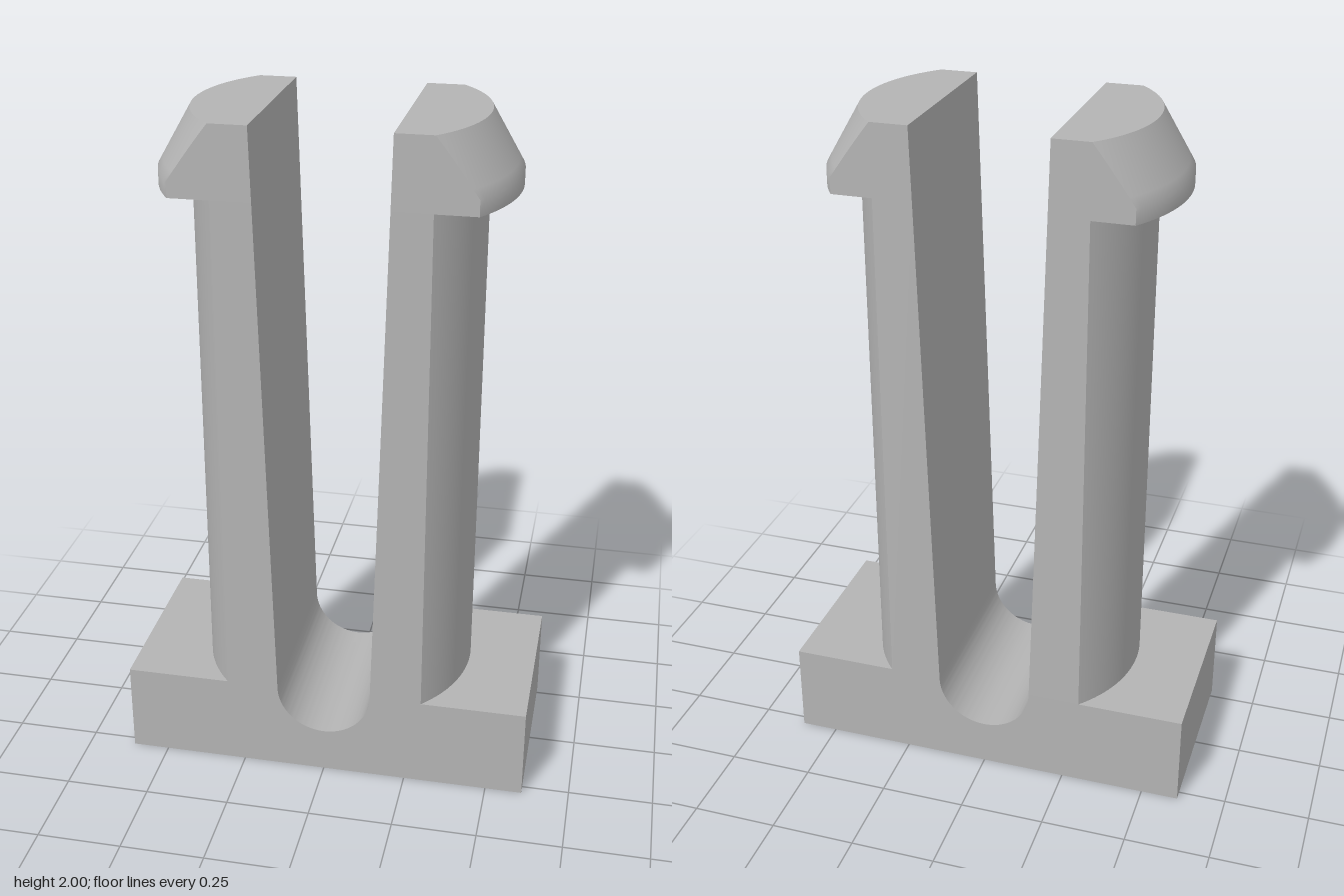
import * as THREE from 'three';
import { toCreasedNormals } from 'three/addons/utils/BufferGeometryUtils.js';

const HALF_DEPTH = 0.28;
const BASE_TOP = 0.28;
const SLOT_RADIUS = 0.142;
const CREASE = THREE.MathUtils.degToRad(35);

// Base block with the round bottom of the slot cut into its top
function baseGeometry() {
  const shape = new THREE.Shape();
  shape.moveTo(-0.61, 0);
  shape.lineTo(0.61, 0);
  shape.lineTo(0.61, BASE_TOP);
  shape.lineTo(SLOT_RADIUS, BASE_TOP);
  shape.absarc(0, BASE_TOP, SLOT_RADIUS, 0, Math.PI, true);
  shape.lineTo(-0.61, BASE_TOP);
  shape.closePath();
  const geometry = new THREE.ExtrudeGeometry(shape, {
    depth: HALF_DEPTH * 2, bevelEnabled: false, curveSegments: 32,
  });
  geometry.translate(0, 0, -HALF_DEPTH);
  return toCreasedNormals(geometry, CREASE);
}

// Horizontal section of a prong: flat slot wall, flat front and back, round outside
function prongSection(y, radius, steps = 32) {
  const inner = SLOT_RADIUS + (0.19 - SLOT_RADIUS) * (y - BASE_TOP) / (2 - BASE_TOP);
  const half = Math.asin(HALF_DEPTH / radius);
  const ring = [[inner, y, HALF_DEPTH]];
  for (let i = 0; i <= steps; i++) {
    const a = half - (2 * half * i) / steps;
    ring.push([radius * Math.cos(a), y, radius * Math.sin(a)]);
  }
  ring.push([inner, y, -HALF_DEPTH]);
  return ring;
}

// Prong with shaft, undercut lip and tapered head, lofted through its sections
function prongGeometry() {
  const shaft = 0.408, lip = 0.5;
  const levels = [[BASE_TOP, shaft], [1.795, shaft], [1.795, lip], [1.84, lip]];
  for (let i = 1; i <= 6; i++) {
    levels.push([1.84 + 0.16 * i / 6, lip + (shaft - lip) * i / 6]);
  }
  const rings = levels.map(([y, r]) => prongSection(y, r));
  const positions = [];
  const triangle = (a, b, c) => positions.push(...a, ...b, ...c);
  for (let k = 0; k < rings.length - 1; k++) {
    const low = rings[k], high = rings[k + 1];
    for (let i = 0; i < low.length; i++) {
      const j = (i + 1) % low.length;
      triangle(low[i], low[j], high[j]);
      triangle(low[i], high[j], high[i]);
    }
  }
  const top = rings[rings.length - 1];
  for (let i = 1; i < top.length - 1; i++) triangle(top[0], top[i], top[i + 1]);
  const geometry = new THREE.BufferGeometry();
  geometry.setAttribute('position', new THREE.Float32BufferAttribute(positions, 3));
  return toCreasedNormals(geometry, CREASE);
}

export function createModel() {
  const model = new THREE.Group();
  model.name = 'splitSnapClip';
  const grey = new THREE.MeshStandardMaterial({ color: 0xb4b4b4 });
  grey.name = 'plain grey';

  const add = (name, geometry) => {
    const mesh = new THREE.Mesh(geometry, grey);
    mesh.name = name;
    model.add(mesh);
    return mesh;
  };
  add('base', baseGeometry());
  const prong = prongGeometry();
  add('leftProng', prong);
  add('rightProng', prong).rotation.y = Math.PI;
  return model;
}
